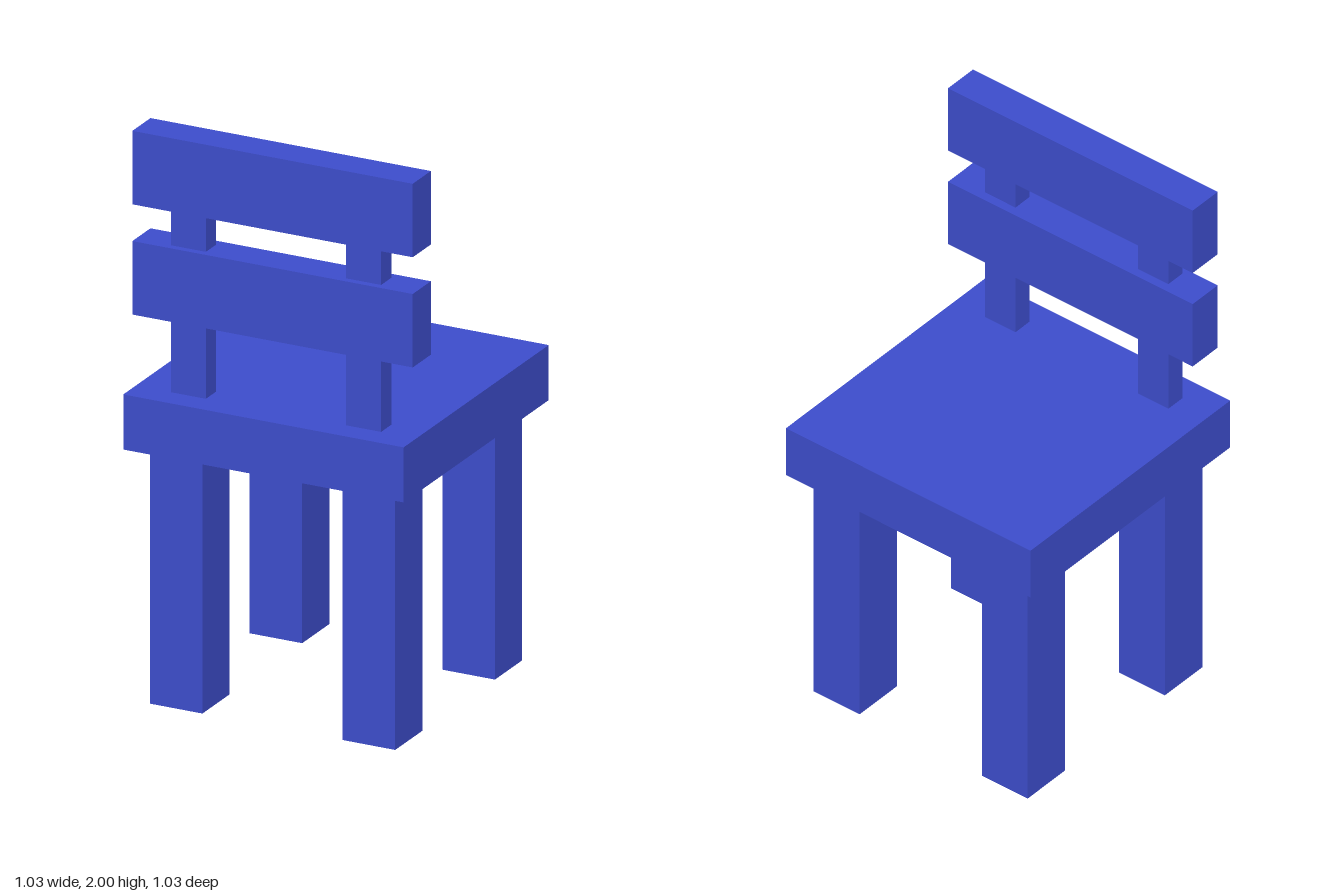
import * as THREE from 'three';

export function createModel() {
  const chair = new THREE.Group();
  chair.name = 'chair';
  const blue = new THREE.MeshStandardMaterial({ color: 0x3d4dcc });
  const u = 2 / 31; // one design unit: the chair is 31 units tall

  // Box given by its minimum and maximum corners, in design units
  function block(name, [x0, y0, z0], [x1, y1, z1]) {
    const geometry = new THREE.BoxGeometry((x1 - x0) * u, (y1 - y0) * u, (z1 - z0) * u);
    const mesh = new THREE.Mesh(geometry, blue);
    mesh.position.set(x0 + x1, y0 + y1, z0 + z1).multiplyScalar(u / 2);
    mesh.name = name;
    chair.add(mesh);
    return mesh;
  }

  block('seat', [-8, 14, -8], [8, 17, 8]);

  for (const [side, s] of [['left', 1], ['right', -1]]) {
    // Legs, set in from the seat edges
    for (const [end, e] of [['Front', 1], ['Back', -1]]) {
      const leg = block(side + end + 'Leg', [4, 0, 4], [7, 14, 7]);
      leg.position.x *= s;
      leg.position.z *= e;
    }
    // Uprights carrying the backrest slats, shown in the gaps
    for (const [part, y0, y1] of [['Lower', 17, 21], ['Upper', 25, 27]]) {
      const post = block(side + part + 'BackPost', [4, y0, 5.5], [6, y1, 6.62]);
      post.position.x *= s;
    }
  }

  // Backrest slats
  block('lowerBackSlat', [-8, 21, 5], [8, 25, 7]);
  block('upperBackSlat', [-8, 27, 5], [8, 31, 7]);

  return chair;
}
